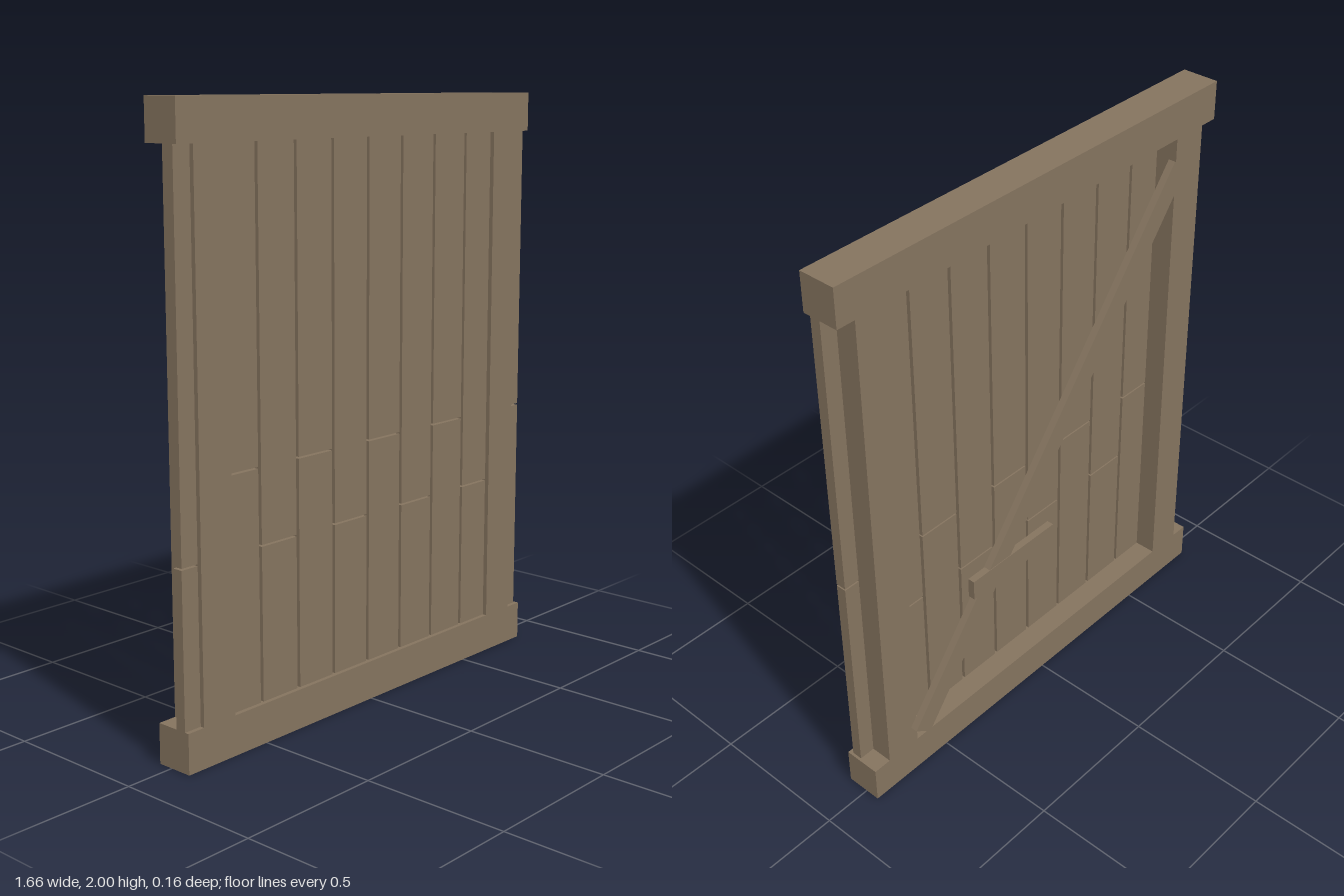
import * as THREE from 'three';

export function createModel() {
  const group = new THREE.Group();
  const wood = new THREE.MeshStandardMaterial({ color: 0x84735e });
  wood.name = 'weatheredWood';

  // Box given by its limits on each axis
  const board = (name, [x0, x1], [y0, y1], [z0, z1]) => {
    const mesh = new THREE.Mesh(new THREE.BoxGeometry(x1 - x0, y1 - y0, z1 - z0), wood);
    mesh.position.set((x0 + x1) / 2, (y0 + y1) / 2, (z0 + z1) / 2);
    mesh.name = name;
    group.add(mesh);
    return mesh;
  };

  // Frame: two rails across the full width, two stiles set in from the ends
  const frameZ = [-0.052, 0.078];
  const railHeight = 0.132;
  board('bottomRail', [-0.83, 0.83], [0, railHeight], frameZ);
  board('topRail', [-0.83, 0.83], [2 - railHeight, 2], frameZ);
  board('rightStile', [-0.766, -0.636], [railHeight, 2 - railHeight], frameZ);
  board('leftStile', [0.634, 0.764], [railHeight, 2 - railHeight], frameZ);

  // Ten vertical planks, each in two lengths with staggered joints
  const plankZ = [0.026, 0.063];
  const pitch = 0.1663, width = 0.154, seam = 0.003;
  for (let i = 0; i < 10; i++) {
    const x = -0.83 + i * pitch;
    const joint = i % 2 ? 0.887 : 0.638;
    board('lowerPlank', [x, x + width], [0.1, joint - seam], plankZ);
    board('upperPlank', [x, x + width], [joint + seam, 1.9], plankZ);
  }

  // Diagonal brace and short latch bar on the back
  const brace = board('diagonalBrace', [-1.02, 1.02], [0.945, 1.025], [-0.077, -0.052]);
  brace.rotation.z = -Math.atan(1.28);
  board('latchBar', [-0.02, 0.37], [0.6, 0.675], [-0.079, -0.054]);

  return group;
}
